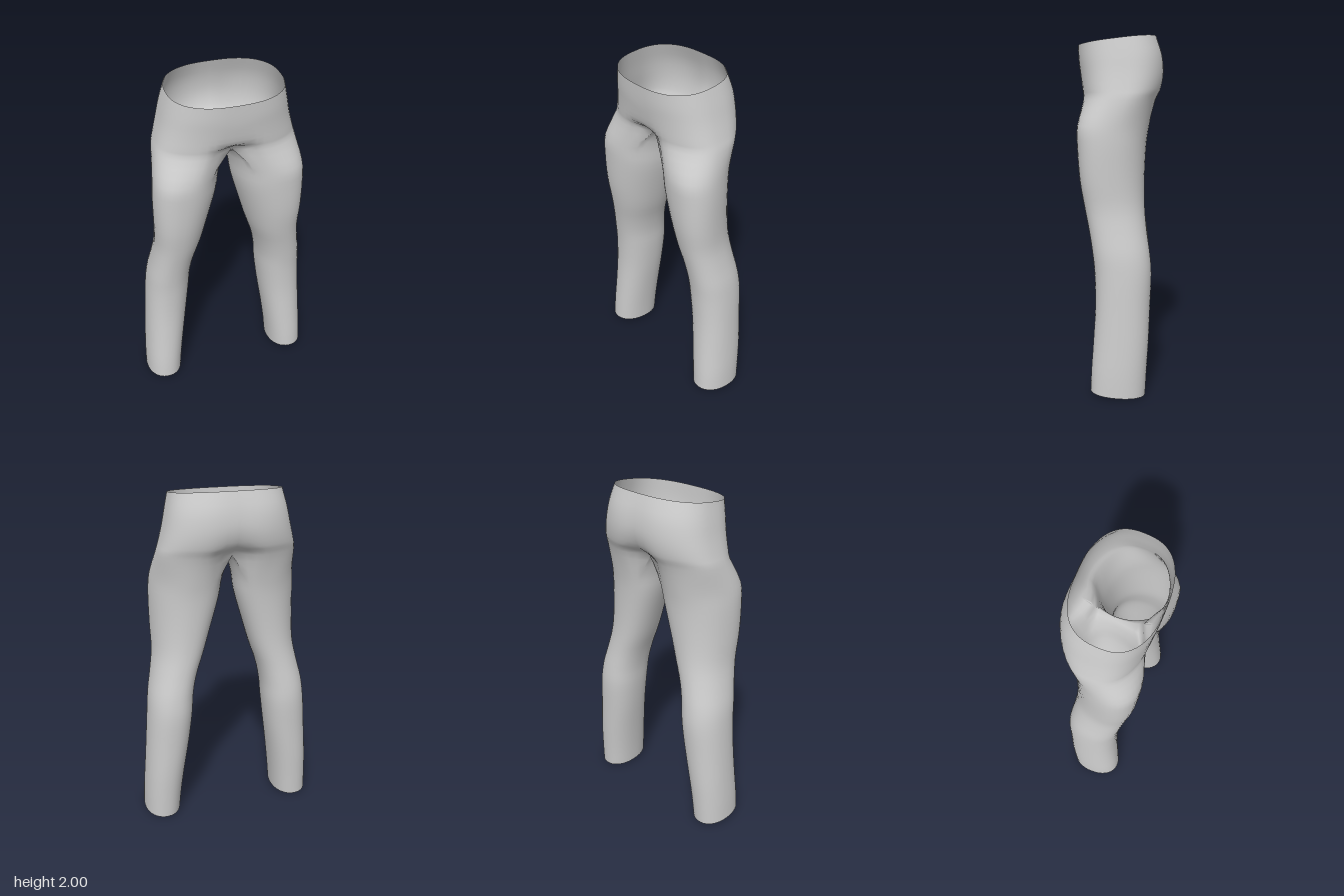
import * as THREE from 'three';
import { mergeVertices } from 'three/addons/utils/BufferGeometryUtils.js';

const OUTER = 28, INNER = 12, COLS = OUTER + INNER; // points around one side
const STEPS = 3; // smooth rows between two sections
const SEAM = THREE.MathUtils.degToRad(130); // where the inner-leg strip begins

// Half sections of the hips: y, side x, front z, back z, centre front z, centre back z, rim tilt
const hips = [
  [1.975, 0.32, 0.25, -0.205, 0.25, -0.203, -0.12],
  [1.88, 0.343, 0.247, -0.242, 0.245, -0.232, -0.06],
  [1.79, 0.363, 0.238, -0.252, 0.235, -0.238, 0],
  [1.7, 0.387, 0.229, -0.238, 0.21, -0.205, 0],
  [1.64, 0.403, 0.228, -0.212, 0.14, -0.13, 0],
];

// Closed sections of a leg: y, outer x, inner x, front z, back z, skew
const legs = [
  [1.5, 0.423, 0.04, 0.24, -0.162, 0.2],
  [1.38, 0.432, 0.06, 0.24, -0.145, 0.22],
  [1.2, 0.433, 0.11, 0.226, -0.136, 0.2],
  [1.05, 0.435, 0.152, 0.2, -0.137, 0.15],
  [0.92, 0.457, 0.195, 0.174, -0.148, 0.1],
  [0.8, 0.482, 0.22, 0.155, -0.165, 0.06],
  [0.68, 0.495, 0.23, 0.143, -0.175, 0.04],
  [0.5, 0.508, 0.252, 0.139, -0.168, 0.03],
  [0.3, 0.522, 0.282, 0.15, -0.16, 0],
  [0.14, 0.532, 0.303, 0.161, -0.15, 0],
  [0.01, 0.536, 0.316, 0.166, -0.142, 0],
];

const power = (v, e) => Math.sign(v) * Math.abs(v) ** e;

function hipPoint([y, xs, zf, zb, cf, cb, tilt], j) {
  if (j > OUTER) { // crotch line running from back to front on the centre
    const u = (2 * (j - OUTER)) / INNER - 1;
    return new THREE.Vector3(0, y - 0.05 * (1 - u * u), (cf + cb) / 2 + ((cf - cb) / 2) * u);
  }
  const a = Math.PI * (0.5 - j / OUTER);
  const x = xs * power(Math.cos(a), 0.8);
  const dent = Math.exp(-((x / 0.1) ** 2)) * (a > 0 ? zf - cf : a < 0 ? zb - cb : 0);
  const z = (zf + zb) / 2 + ((zf - zb) / 2) * power(Math.sin(a), 0.8) - dent;
  return new THREE.Vector3(x, y + tilt * z, z);
}

function legPoint([y, xo, xi, zf, zb, skew], j) {
  const a = j <= OUTER
    ? SEAM * (1 - (2 * j) / OUTER)
    : -SEAM - (2 * Math.PI - 2 * SEAM) * ((j - OUTER) / INNER);
  const dz = ((zf - zb) / 2) * power(Math.sin(a), 0.92);
  const x = (xo + xi) / 2 + ((xo - xi) / 2) * power(Math.cos(a), 0.92) + skew * dz;
  const z = (zf + zb) / 2 + dz;
  return new THREE.Vector3(x, y + (y < 0.1 ? 0.07 * z : 0), z);
}

function buildTrousers() {
  const rows = (hips.length + legs.length - 1) * STEPS;
  const crotchRow = (hips.length - 1) * STEPS;
  const columns = [];
  for (let j = 0; j < COLS; j++) {
    const pts = [...hips.map((h) => hipPoint(h, j)), ...legs.map((l) => legPoint(l, j))];
    if (j > OUTER) { // mirrored guide point rounds the arch between the legs
      const next = pts[hips.length];
      pts[hips.length - 2] = new THREE.Vector3(-next.x, next.y, next.z);
    }
    const curve = new THREE.CatmullRomCurve3(pts, false, 'catmullrom', 0.5);
    columns.push(curve.getPoints(rows));
  }

  // Both sides share the centre seam and the crotch line
  const positions = [], index = [];
  for (const side of [1, -1]) {
    const base = positions.length / 3;
    for (const column of columns) {
      column.forEach((p, i) => {
        const onCentre = Math.abs(p.x) < 1e-4 && i <= crotchRow;
        positions.push(onCentre ? 0 : side * p.x, p.y, p.z);
      });
    }
    const at = (i, j) => base + (j % COLS) * (rows + 1) + i;
    for (let j = 0; j < COLS; j++) {
      for (let i = j < OUTER ? 0 : crotchRow; i < rows; i++) {
        const a = at(i, j), b = at(i + 1, j), c = at(i + 1, j + 1), d = at(i, j + 1);
        if (side > 0) index.push(a, b, d, b, c, d);
        else index.push(a, d, b, b, d, c);
      }
    }
  }
  const raw = new THREE.BufferGeometry();
  raw.setAttribute('position', new THREE.Float32BufferAttribute(positions, 3));
  raw.setIndex(index);
  // Drop unused guide points, then weld the halves for smooth shading
  const geometry = mergeVertices(raw.toNonIndexed(), 1e-4);
  geometry.computeVertexNormals();
  return geometry;
}

export function createModel() {
  const group = new THREE.Group();
  group.name = 'trousers';
  const cloth = new THREE.MeshStandardMaterial({ color: 0xcccccc, side: THREE.DoubleSide });
  cloth.name = 'grey cloth';
  const mesh = new THREE.Mesh(buildTrousers(), cloth);
  mesh.name = 'trouserCloth';
  group.add(mesh);
  return group;
}
